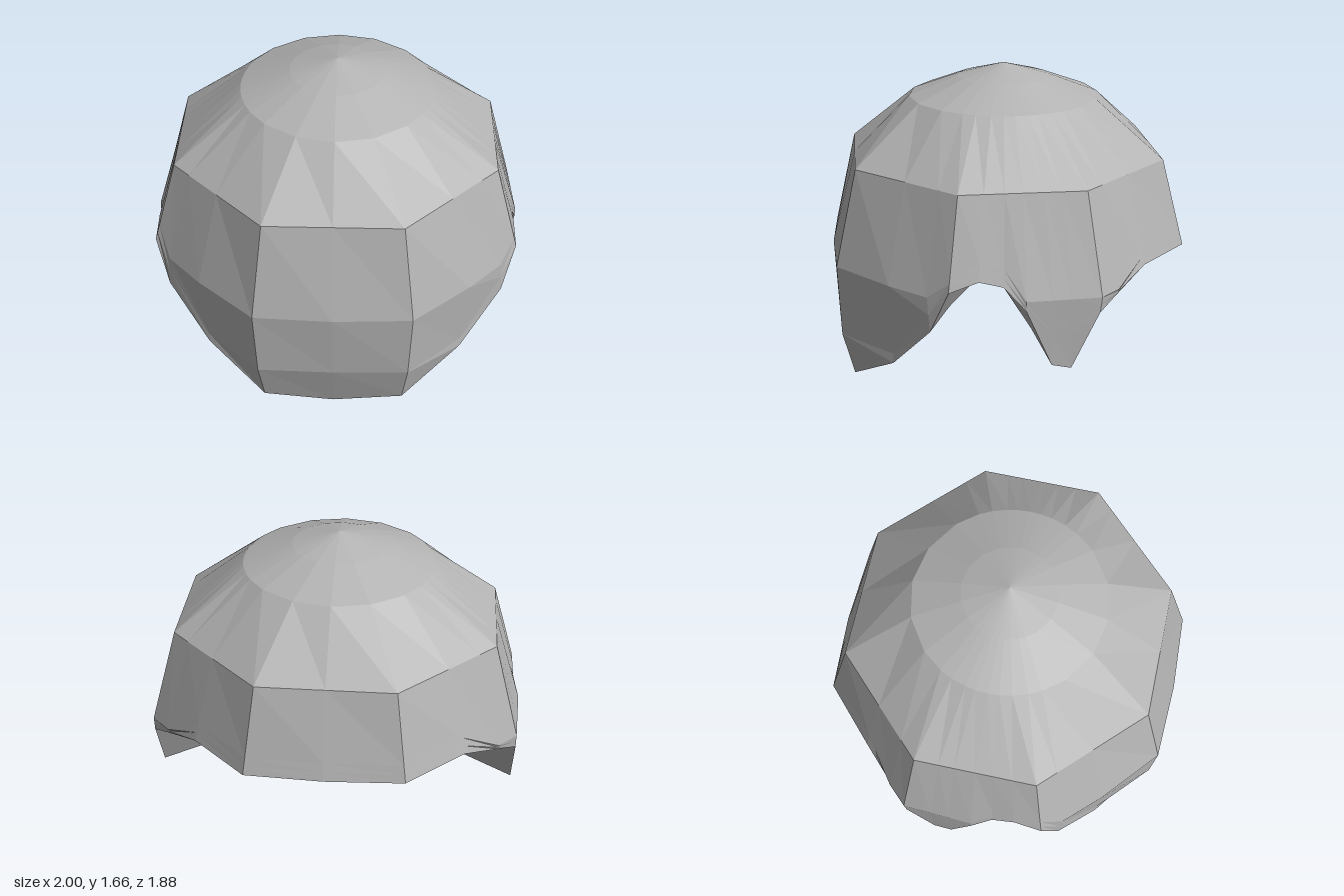
import * as THREE from 'three';

// Half of the lower edge, front to back: [u, x, y, z].
// u runs round the eight-sided dome: 0 front, 1 diagonal, 2 side, 4 back; corners at .5, 1.5 ...
const RIM = [
  [0, 0, 0, 0.84], [0.5, 0.37, 0.05, 0.85], [1, 0.68, 0.24, 0.65], [1.32, 0.9, 0.5, 0.47],
  [1.5, 0.97, 0.73, 0.38], [1.7, 0.965, 0.78, 0.23], [1.86, 0.97, 0.75, 0.11], [2, 1, 0.63, 0],
  [2.17, 0.985, 0.33, -0.13], [2.3, 0.975, 0.305, -0.23], [2.5, 0.98, 0.6, -0.37],
  [2.68, 0.88, 0.65, -0.47], [3, 0.7, 0.735, -0.65], [3.5, 0.41, 0.73, -0.92], [4, 0, 0.73, -0.94],
];
const TOP = new THREE.Vector3(0, 1.66, 0);
const HUB = new THREE.Vector3(0, 0.49, 0.08);

// Point on an eight-sided ring given its front corner (cx, cz) and side corner (sx, sz)
function octagonPoint(u, y, cx, cz, sx, sz, bulge) {
  const corners = [[-cx, cz], [cx, cz], [sx, sz], [sx, -sz], [cx, -cz], [-cx, -cz]];
  const i = Math.min(Math.floor(u + 0.5), 4), f = u + 0.5 - i;
  const s = 1 + bulge * (1 - Math.abs(2 * f - 1));
  const [a, b] = [corners[i], corners[i + 1]];
  return new THREE.Vector3((a[0] + (b[0] - a[0]) * f) * s, y, (a[1] + (b[1] - a[1]) * f) * s);
}

function roundPoint(u, y, r) {
  const a = u * Math.PI / 4;
  return new THREE.Vector3(Math.sin(a) * r, y, Math.cos(a) * r);
}

// Dome column from the crown down to the lower edge
function shellColumn([u, x, y, z]) {
  const rim = new THREE.Vector3(x, y, z);
  const shoulder = octagonPoint(u, 1.19, 0.355, 0.81, 0.845, 0.32, 0);
  const middle = y < 0.66
    ? octagonPoint(u, 0.68, 0.41, 0.925, 0.98, 0.38, 0.02)
    : shoulder.clone().lerp(rim, 0.8);
  const low = y < 0.27
    ? octagonPoint(u, 0.29, 0.395, 0.91, 0.95, 0.37, 0.01)
    : middle.clone().lerp(rim, 0.5);
  return [TOP, roundPoint(u, 1.59, 0.25), roundPoint(u, 1.49, 0.51), shoulder, middle, low, rim];
}

// Underside column from the lower edge in to the hub, slightly hollow
function undersideColumn([, x, y, z]) {
  const rim = new THREE.Vector3(x, y, z);
  const bend = HUB.clone().lerp(rim, 0.7);
  bend.y += 0.022;
  return [rim, bend, HUB];
}

// Joins the half columns and their mirror images into a closed band
function bandGeometry(makeColumn) {
  const half = RIM.map(makeColumn);
  const mirrored = half.slice(1, -1).reverse()
    .map(col => col.map(p => new THREE.Vector3(-p.x, p.y, p.z)));
  const columns = [...half, ...mirrored];
  const rows = columns[0].length;
  const positions = columns.flatMap(col => col.flatMap(p => [p.x, p.y, p.z]));
  const index = [];
  columns.forEach((_, j) => {
    const k = (j + 1) % columns.length;
    for (let i = 0; i < rows - 1; i++) {
      const a = j * rows + i, b = k * rows + i;
      if (!columns[j][i + 1].equals(columns[k][i + 1])) index.push(a, a + 1, b + 1);
      if (!columns[j][i].equals(columns[k][i])) index.push(a, b + 1, b);
    }
  });
  const geometry = new THREE.BufferGeometry();
  geometry.setAttribute('position', new THREE.Float32BufferAttribute(positions, 3));
  geometry.setIndex(index);
  geometry.computeVertexNormals();
  return geometry;
}

export function createModel() {
  const group = new THREE.Group();
  group.name = 'facetedCap';
  const grey = new THREE.MeshStandardMaterial({ color: 0xb4b4b4, flatShading: true });
  grey.name = 'grey';

  const shell = new THREE.Mesh(bandGeometry(shellColumn), grey);
  shell.name = 'shell';
  const underside = new THREE.Mesh(bandGeometry(undersideColumn), grey);
  underside.name = 'underside';
  group.add(shell, underside);
  return group;
}
